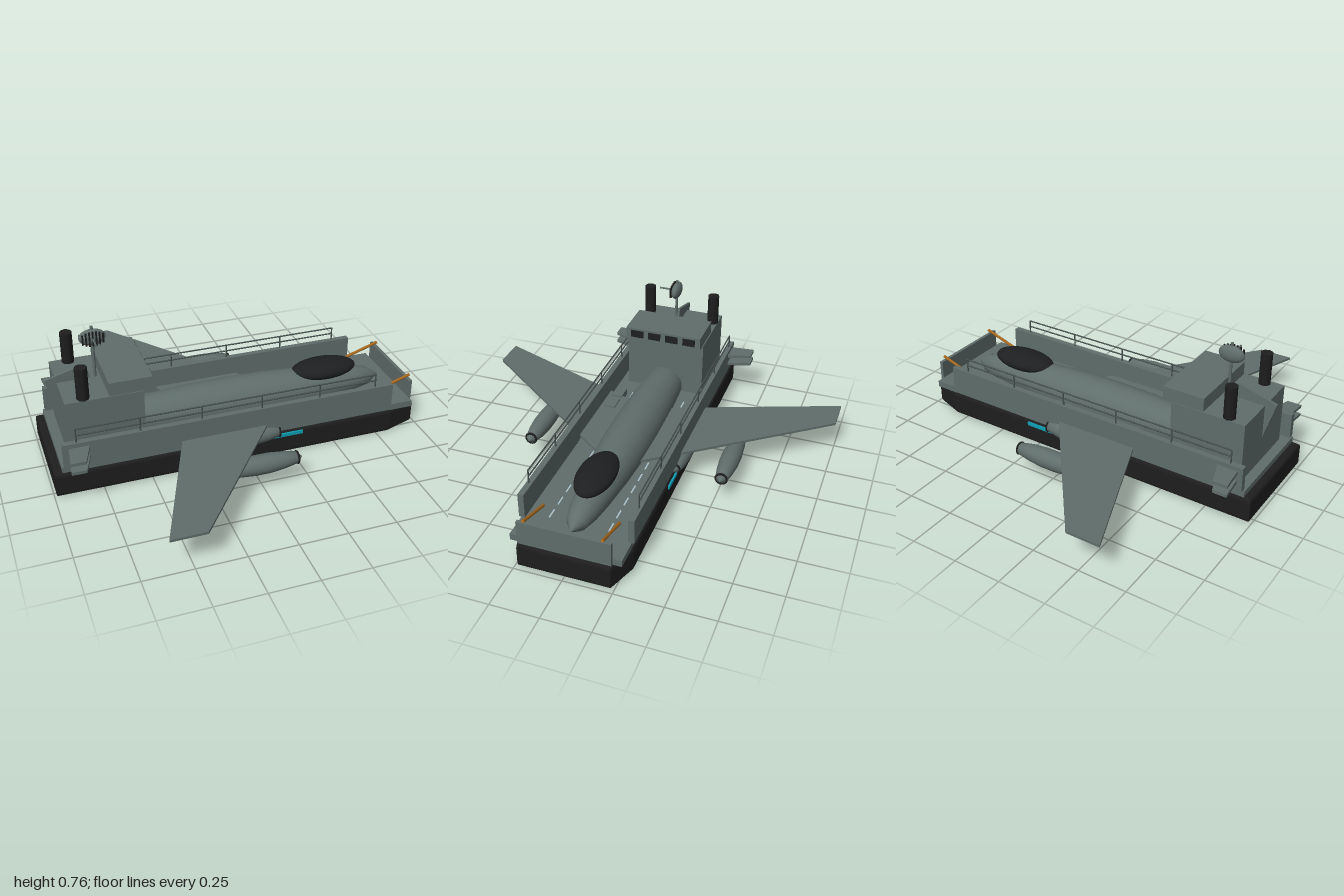
import * as THREE from 'three';

const mat = (name, color, side = THREE.FrontSide) => {
  const m = new THREE.MeshStandardMaterial({ color, side });
  m.name = name;
  return m;
};

export function createModel() {
  const root = new THREE.Group();
  const grey = mat('hull grey', 0x5f6d6b);
  const black = mat('rubber black', 0x1e1e1e);
  const glass = mat('dark glass', 0x1d1f21);
  const railGrey = mat('rail grey', 0x465150);
  const orange = mat('strut orange', 0xa8691f);
  const cyan = mat('light cyan', 0x0e9fb4);
  const paint = mat('deck marking', 0xa9c0c8);

  const add = (name, geo, m, x = 0, y = 0, z = 0) => {
    const mesh = new THREE.Mesh(geo, m);
    mesh.name = name;
    mesh.position.set(x, y, z);
    root.add(mesh);
    return mesh;
  };
  // box given by its limits
  const box = (name, m, x0, x1, y0, y1, z0, z1) =>
    add(name, new THREE.BoxGeometry(x1 - x0, y1 - y0, z1 - z0), m,
      (x0 + x1) / 2, (y0 + y1) / 2, (z0 + z1) / 2);
  // round bar between two points
  const rod = (name, m, a, b, r) => {
    const p = new THREE.Vector3(...a), q = new THREE.Vector3(...b);
    const mesh = add(name, new THREE.CylinderGeometry(r, r, p.distanceTo(q), 8), m);
    mesh.position.copy(p).add(q).multiplyScalar(0.5);
    mesh.quaternion.setFromUnitVectors(new THREE.Vector3(0, 1, 0), q.sub(p).normalize());
    return mesh;
  };
  // plan outline of [x, z] points raised from y0 to y1
  const slab = (name, m, pts, y0, y1, bevel = 0) => {
    const shape = new THREE.Shape(pts.map(([x, z]) => new THREE.Vector2(x, -z)));
    const geo = new THREE.ExtrudeGeometry(shape, {
      depth: y1 - y0 - 2 * bevel, bevelEnabled: bevel > 0, bevelThickness: bevel,
      bevelSize: bevel, bevelOffset: -bevel, bevelSegments: 3,
    });
    geo.rotateX(-Math.PI / 2);
    return add(name, geo, m, 0, y0 + bevel, 0);
  };
  // body of revolution along x from [x, radius] points
  const spindle = (name, m, pts, y, z) => {
    const geo = new THREE.LatheGeometry(pts.map(([x, r]) => new THREE.Vector2(r, x)), 28);
    geo.rotateZ(-Math.PI / 2);
    return add(name, geo, m, 0, y, z);
  };

  // air cushion, deck and bow ramp
  slab('skirt', black, [[-0.99, -0.29], [0.82, -0.29], [0.98, -0.235], [0.98, 0.235],
    [0.82, 0.29], [-0.99, 0.29]], 0, 0.135, 0.02);
  box('deck', grey, -0.95, 0.95, 0.13, 0.165, -0.28, 0.28);
  box('bowRamp', grey, 0.95, 0.968, 0.135, 0.262, -0.235, 0.235);

  // superstructure and bridge
  box('house', grey, -0.9, -0.51, 0.165, 0.48, -0.22, 0.22);
  box('bridge', grey, -0.68, -0.46, 0.48, 0.55, -0.215, 0.215);
  for (const z of [-0.15, -0.05, 0.05, 0.15])
    box('bridgeWindow', glass, -0.461, -0.454, 0.498, 0.538, z - 0.035, z + 0.035);

  // radar mast with a grilled dish
  rod('mast', grey, [-0.705, 0.48, 0], [-0.705, 0.76, 0], 0.008);
  add('radarDish', new THREE.SphereGeometry(1, 24, 14), grey, -0.705, 0.7, 0).scale.set(0.068, 0.044, 0.026);
  for (let i = -3; i <= 3; i++) {
    const u = i * 0.25, h = 0.044 * Math.sqrt(1 - u * u) * 0.9;
    box('dishSlat', black, -0.709 + u * 0.068, -0.701 + u * 0.068, 0.7 - h, 0.7 + h, 0.02, 0.027);
  }
  rod('radarFeed', grey, [-0.705, 0.7, 0], [-0.705, 0.7, 0.1], 0.005);

  // aircraft body, canopy and upright fin
  spindle('fuselage', grey, [[-0.8, 0], [-0.8, 0.08], [-0.46, 0.107], [-0.25, 0.12], [0, 0.125], [0.2, 0.122],
    [0.4, 0.11], [0.6, 0.09], [0.72, 0.073], [0.81, 0.05], [0.88, 0]], 0.198, 0);
  add('canopy', new THREE.SphereGeometry(1, 32, 18), glass, 0.545, 0.295, 0).scale.set(0.185, 0.05, 0.096);
  const fin = new THREE.Shape([[-0.96, 0.5], [-0.9, 0.3], [-0.7, 0.3], [-0.73, 0.48], [-0.75, 0.56]]
    .map(([x, y]) => new THREE.Vector2(x, y)));
  add('tailFin', new THREE.ExtrudeGeometry(fin, { depth: 0.014, bevelEnabled: false }), grey, 0, 0, -0.007);

  // deck hatches
  for (const x of [-0.325, -0.21]) box('hatch', grey, x - 0.042, x + 0.042, 0.165, 0.203, 0.18, 0.238);

  // everything mirrored to both sides
  for (const s of [-1, 1]) {
    const side = (name, m, x0, x1, y0, y1, z0, z1) =>
      box(name, m, x0, x1, y0, y1, Math.min(s * z0, s * z1), Math.max(s * z0, s * z1));
    side('sideWall', grey, -0.94, 0.82, 0.165, 0.297, 0.262, 0.293);

    // railing
    for (const y of [0.335, 0.37])
      rod('rail', railGrey, [-0.87, y, s * 0.28], [0.72, y, s * 0.28], 0.004);
    for (let i = 0; i < 6; i++) {
      const x = -0.87 + i * 0.318;
      rod('railPost', railGrey, [x, 0.295, s * 0.28], [x, 0.372, s * 0.28], 0.004);
    }

    // wing and the two stacked tailplanes
    slab('wing', grey, [[0.28, s * 0.07], [-0.435, s], [-0.615, s], [-0.26, s * 0.07]], 0.182, 0.195);
    for (const y of [0.216, 0.266])
      slab('tailplane', grey, [[-0.8, s * 0.27], [-0.85, s * 0.42], [-0.925, s * 0.42], [-0.91, s * 0.27]],
        y - 0.008, y + 0.008);

    // engine pods
    for (const z of [0.28, 0.53]) {
      spindle('enginePod', grey, [[-0.225, 0], [-0.225, 0.027], [-0.15, 0.042], [-0.05, 0.051], [0.03, 0.051],
        [0.11, 0.043], [0.178, 0.03], [0.205, 0]], 0.137, s * z);
      for (const x of [0.178, -0.224]) {
        const ring = add('podRing', new THREE.TorusGeometry(0.029, 0.006, 8, 24), black, x, 0.137, s * z);
        ring.rotation.y = Math.PI / 2;
      }
    }

    // funnels, ramp struts, side lights and dashed deck lines
    rod('funnel', black, [-0.805, 0.48, s * 0.19], [-0.805, 0.65, s * 0.19], 0.032);
    rod('rampStrut', orange, [0.75, 0.205, s * 0.195], [0.97, 0.278, s * 0.195], 0.008);
    side('sideLight', cyan, 0.1, 0.31, 0.104, 0.122, 0.285, 0.298);
    for (let i = 0; i < 12; i++) {
      const x = -0.4 + i * 0.1018;
      side('deckDash', paint, x, x + 0.06, 0.164, 0.168, 0.148, 0.156);
    }
  }
  return root;
}
